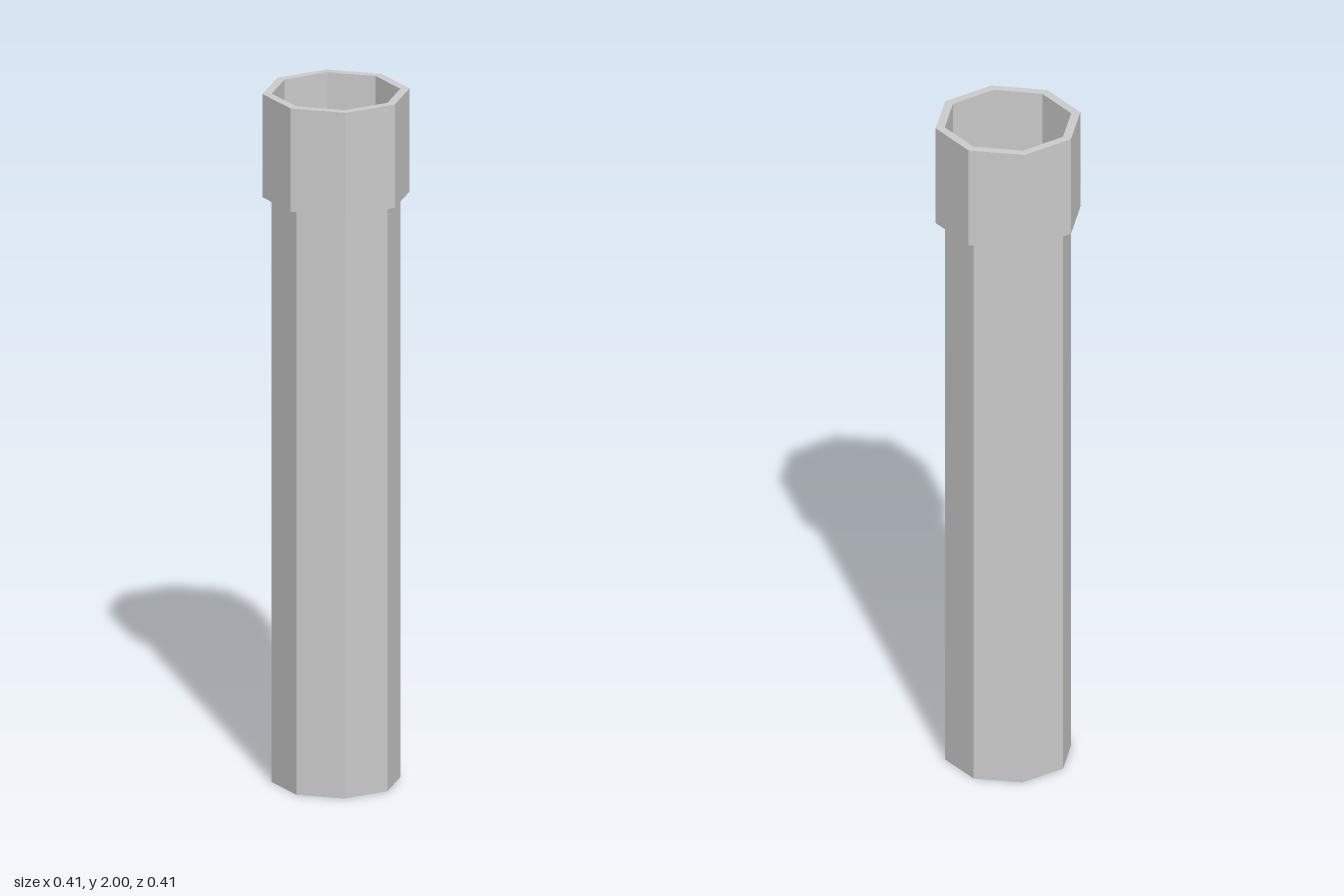
import * as THREE from 'three';

const SIDES = 8;
const TUBE_R = 0.18, COLLAR_R = 0.206;
const COLLAR_Y = 1.7, TOP_Y = 2;

export function createModel() {
  const group = new THREE.Group();
  group.name = 'pipe';
  const material = new THREE.MeshStandardMaterial({
    color: 0xcccccc, flatShading: true, side: THREE.DoubleSide,
  });

  // Revolve a [radius, height] profile into an eight-sided part
  const addTurned = (name, profile) => {
    const points = profile.map(([r, y]) => new THREE.Vector2(r, y));
    const mesh = new THREE.Mesh(new THREE.LatheGeometry(points, SIDES), material);
    mesh.name = name;
    group.add(mesh);
  };

  // Thin-walled shaft, open at the bottom
  addTurned('shaft', [[TUBE_R, 0], [TUBE_R, COLLAR_Y]]);

  // Wider collar: underside, outer wall, rim and inner wall
  addTurned('collar', [
    [TUBE_R, COLLAR_Y], [COLLAR_R, COLLAR_Y],
    [COLLAR_R, TOP_Y], [TUBE_R, TOP_Y], [TUBE_R, COLLAR_Y],
  ]);

  // Floor closing the socket inside the collar
  const floor = new THREE.Mesh(new THREE.CircleGeometry(TUBE_R, SIDES), material);
  floor.name = 'socketFloor';
  floor.rotation.x = -Math.PI / 2;
  floor.position.y = COLLAR_Y;
  group.add(floor);

  return group;
}
